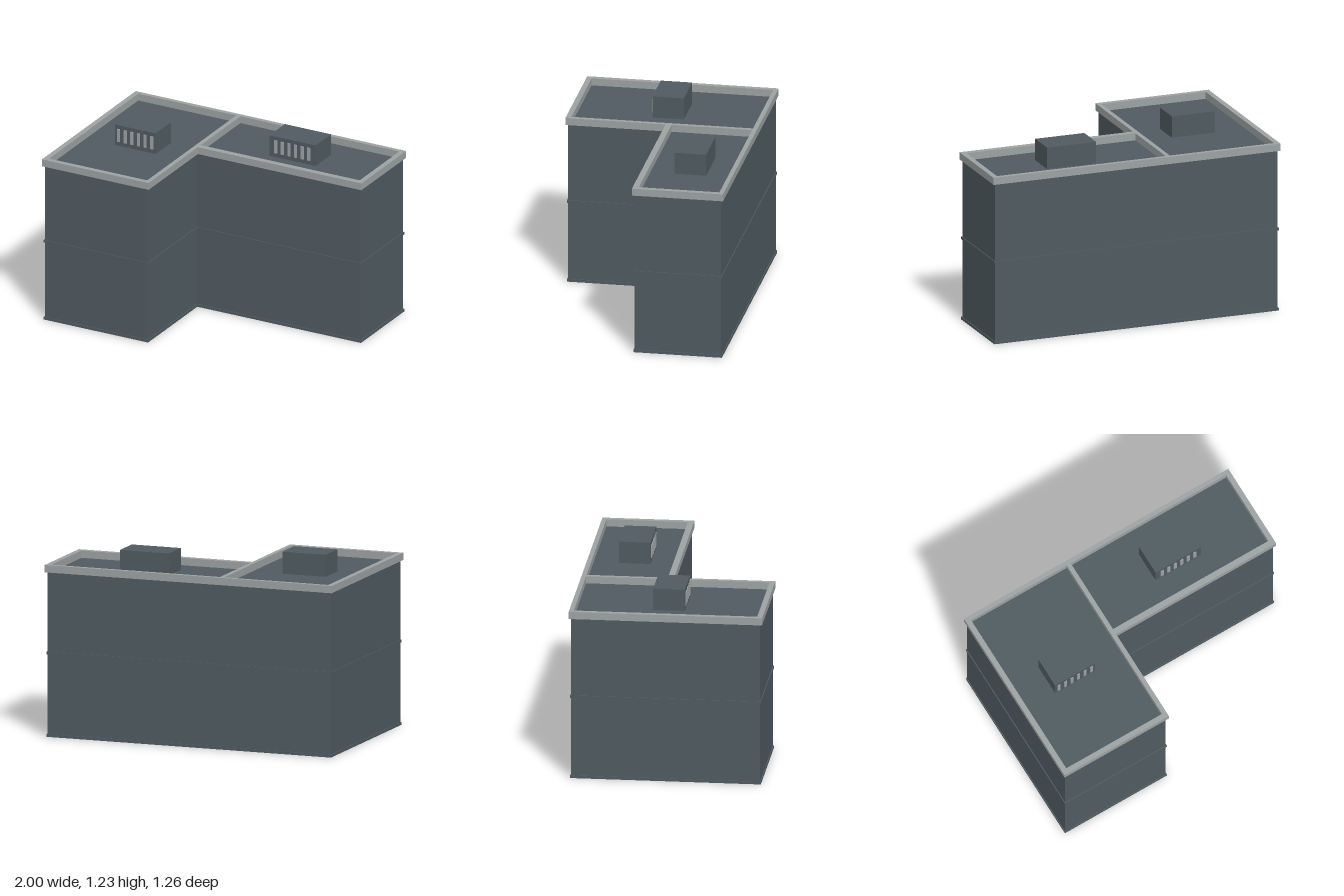
import * as THREE from 'three';

const wall = new THREE.MeshStandardMaterial({ color: 0x4f5a60 });
wall.name = 'slate wall';
const trim = new THREE.MeshStandardMaterial({ color: 0x9ca1a1 });
trim.name = 'pale trim';

// Corners are [x, z]; the shape's y is -z so that extruding goes up after rotation
const toPoints = (corners) => corners.map(([x, z]) => new THREE.Vector2(x, -z));
const rect = (x0, x1, z0, z1) => [[x0, z0], [x0, z1], [x1, z1], [x1, z0]];

// L-shaped footprint grown outwards by a margin
const footprint = (m) => [
  [-0.985 - m, -0.615 - m], [-0.985 - m, 0.615 + m], [-0.225 + m, 0.615 + m],
  [-0.225 + m, -0.045 + m], [0.985 + m, -0.045 + m], [0.985 + m, -0.615 - m],
];

function slab(name, outline, holes, y0, y1, material) {
  const shape = new THREE.Shape(toPoints(outline));
  holes.forEach((h) => shape.holes.push(new THREE.Path(toPoints(h))));
  const geometry = new THREE.ExtrudeGeometry(shape, { depth: y1 - y0, bevelEnabled: false });
  geometry.rotateX(-Math.PI / 2).translate(0, y0, 0);
  const mesh = new THREE.Mesh(geometry, material);
  mesh.name = name;
  return mesh;
}

function box(name, w, h, d, x, y, z, material) {
  const mesh = new THREE.Mesh(new THREE.BoxGeometry(w, h, d), material);
  mesh.position.set(x, y, z);
  mesh.name = name;
  return mesh;
}

const ROOF = 1.085;
const UNIT_TOP = 1.23;

// Rooftop ventilation box with six upright slats on its front
function roofUnit(name, x, z, width, depth) {
  const unit = new THREE.Group();
  unit.name = name;
  const h = UNIT_TOP - ROOF;
  unit.add(box('unitHousing', width, h, depth, x, ROOF + h / 2, z, wall));
  for (let i = 0; i < 6; i++) {
    const sx = x + (i - 2.5) * 0.049;
    unit.add(box('ventSlat', 0.021, 0.09, 0.006, sx, 1.159, z + depth / 2 + 0.003, trim));
  }
  return unit;
}

export function createModel() {
  const model = new THREE.Group();
  model.name = 'building';

  // Main L-shaped block with its flat roof
  model.add(slab('walls', footprint(0), [], 0, ROOF, wall));

  // Thin bands around the base and between the storeys
  model.add(slab('baseBand', footprint(0.006), [footprint(0)], 0, 0.018, wall));
  model.add(slab('storeyBand', footprint(0.006), [footprint(0)], 0.544, 0.562, wall));

  // Parapet around both wings, with a shared divider
  const openings = [rect(-0.965, -0.24, -0.6, 0.595), rect(-0.21, 0.965, -0.6, -0.07)];
  model.add(slab('parapet', footprint(0.015), openings, ROOF, 1.133, trim));

  model.add(roofUnit('longWingVent', -0.6, -0.003, 0.3, 0.207));
  model.add(roofUnit('sideWingVent', 0.38, -0.333, 0.342, 0.207));
  return model;
}
